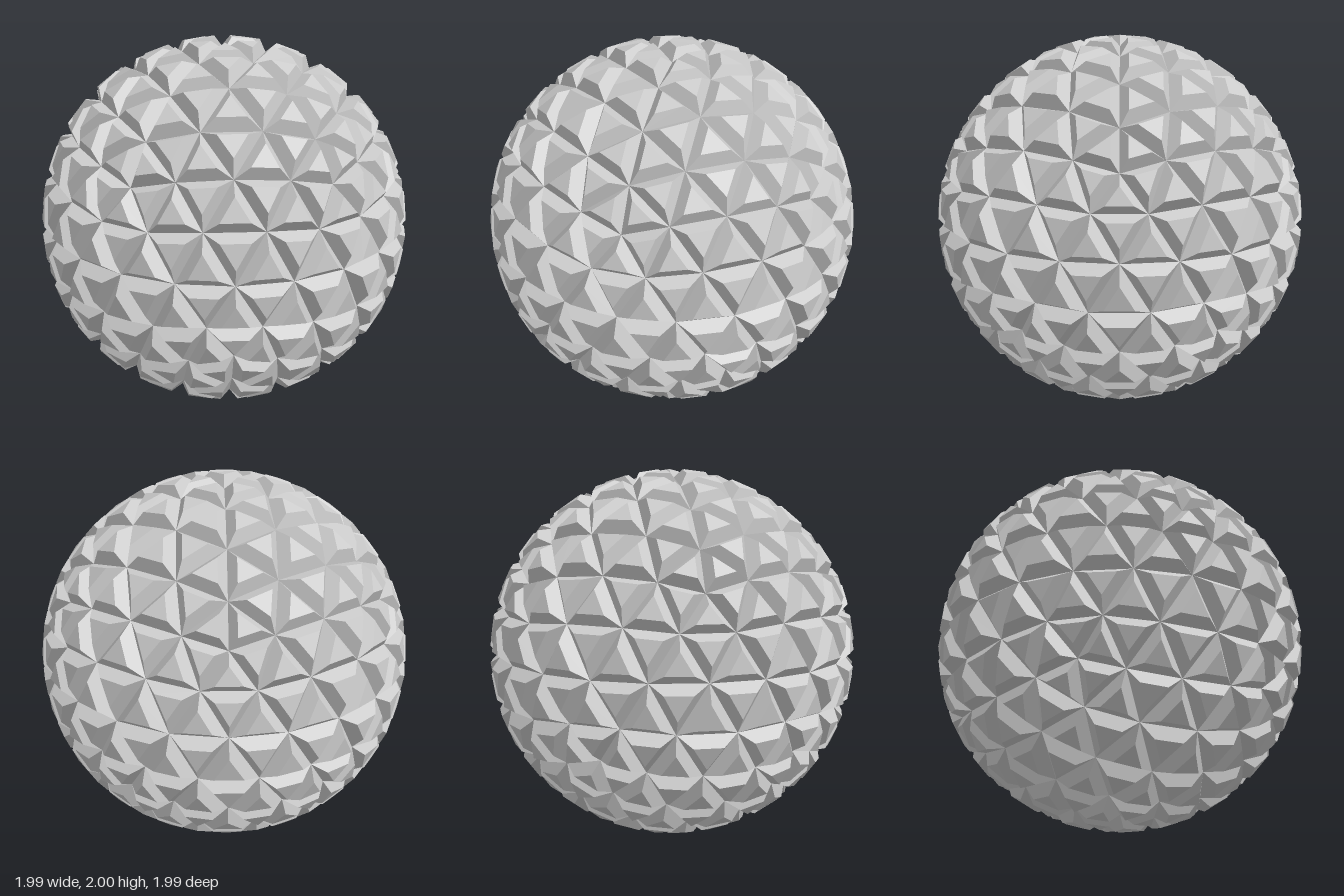
import * as THREE from 'three';

const VALLEY_RADIUS = 0.947; // sphere on which the groove lines meet
const STUD_HEIGHT = 0.065;   // how far each stud rises from its facet
const STUD_TAPER = 0.5;      // size of a stud's cap relative to its base

// Geodesic ball (each icosahedron edge split in four), turned so a five-way corner is at the pole
function geodesicBase() {
  const base = new THREE.IcosahedronGeometry(VALLEY_RADIUS, 3);
  base.rotateZ(-Math.atan(2 / (1 + Math.sqrt(5))));
  return base;
}

// Raise a truncated three-sided pyramid on every facet
function studdedGeometry(base) {
  const source = base.getAttribute('position');
  const points = [];
  const addTriangle = (...corners) => corners.forEach((p) => points.push(p.x, p.y, p.z));

  for (let i = 0; i < source.count; i += 3) {
    const foot = [0, 1, 2].map((k) => new THREE.Vector3().fromBufferAttribute(source, i + k));
    const triangle = new THREE.Triangle(...foot);
    const centre = triangle.getMidpoint(new THREE.Vector3());
    const normal = triangle.getNormal(new THREE.Vector3());
    const cap = foot.map((p) => centre.clone().lerp(p, STUD_TAPER).addScaledVector(normal, STUD_HEIGHT));

    addTriangle(...cap);
    for (let k = 0; k < 3; k++) {
      const n = (k + 1) % 3;
      addTriangle(foot[k], foot[n], cap[n]);
      addTriangle(foot[k], cap[n], cap[k]);
    }
  }

  const geometry = new THREE.BufferGeometry();
  geometry.setAttribute('position', new THREE.Float32BufferAttribute(points, 3));
  geometry.computeVertexNormals();
  return geometry;
}

export function createModel() {
  const group = new THREE.Group();
  group.name = 'studdedBall';

  const material = new THREE.MeshStandardMaterial({ color: 0xcccccc, flatShading: true });
  const shell = new THREE.Mesh(studdedGeometry(geodesicBase()), material);
  shell.name = 'studdedShell';
  shell.position.y = 1;
  group.add(shell);

  return group;
}
